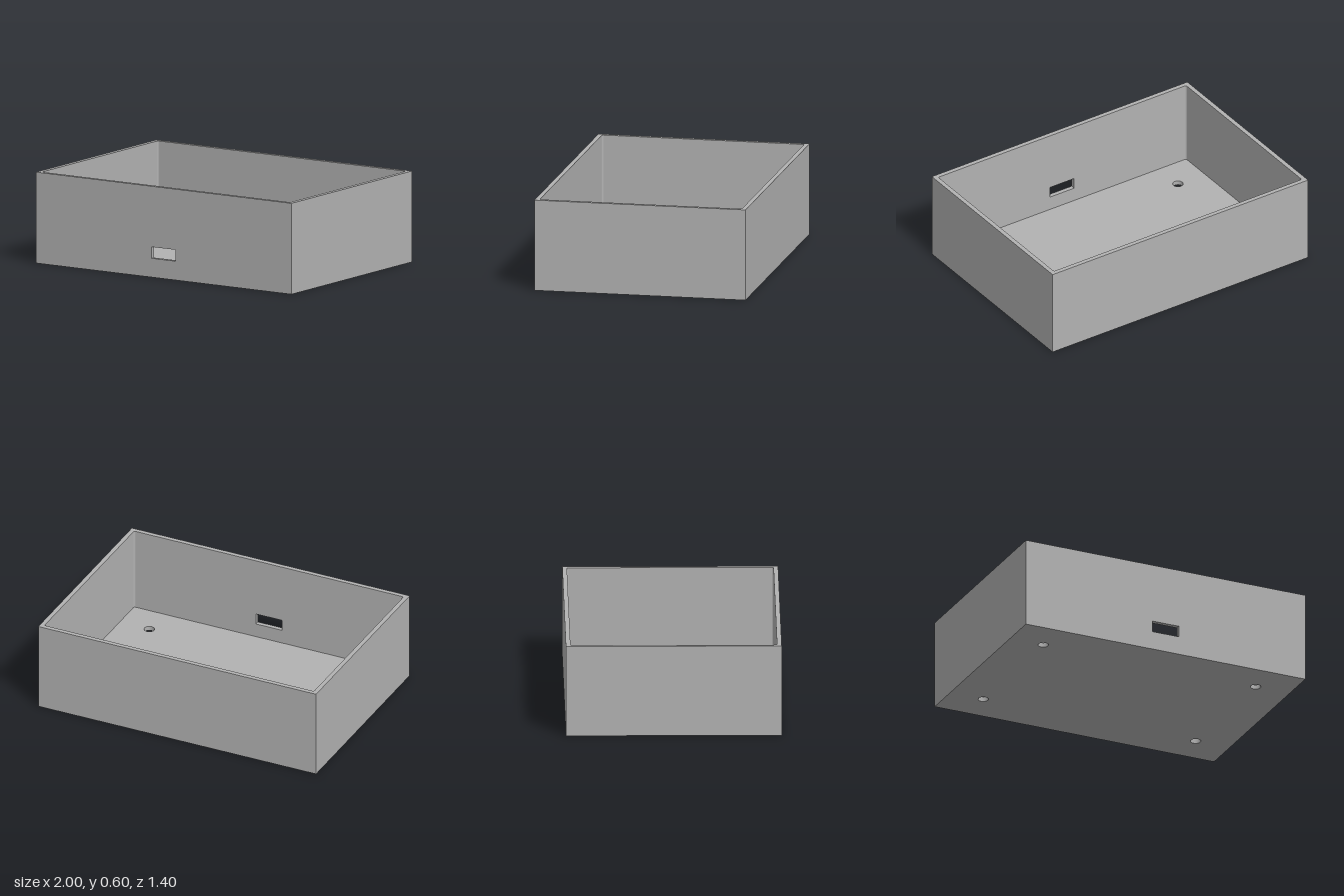
import * as THREE from 'three';

const W = 1, D = 0.7, H = 0.6, T = 0.03; // half width, half depth, height, wall thickness

const rectangle = (Type, x0, y0, x1, y1) => new Type([
  new THREE.Vector2(x0, y0), new THREE.Vector2(x1, y0),
  new THREE.Vector2(x1, y1), new THREE.Vector2(x0, y1),
]);

const extrude = (shape, depth) =>
  new THREE.ExtrudeGeometry(shape, { depth, bevelEnabled: false, curveSegments: 16 });

export function createModel() {
  const group = new THREE.Group();
  group.name = 'enclosure';
  const grey = new THREE.MeshStandardMaterial({ color: 0xb2b2b2 });
  grey.name = 'grey plastic';

  const add = (name, geometry) => {
    const mesh = new THREE.Mesh(geometry, grey);
    mesh.name = name;
    group.add(mesh);
    return mesh;
  };

  // Floor with four screw holes
  const floor = rectangle(THREE.Shape, -W, -D, W, D);
  for (const x of [-0.762, 0.758]) {
    for (const z of [-0.463, 0.457]) {
      floor.holes.push(new THREE.Path().absarc(x, -z, 0.034, 0, Math.PI * 2, true));
    }
  }
  add('floor', extrude(floor, T).rotateX(-Math.PI / 2));

  // Back and side walls in one U, with small fillets in the inner corners
  const r = 0.012, ix = W - T, iy = D - T;
  const walls = new THREE.Shape();
  walls.moveTo(-W, -iy);
  walls.lineTo(-ix + r, -iy);
  walls.absarc(-ix + r, -iy + r, r, -Math.PI / 2, -Math.PI, true);
  walls.lineTo(-ix, iy - r);
  walls.absarc(-ix + r, iy - r, r, Math.PI, Math.PI / 2, true);
  walls.lineTo(ix - r, iy);
  walls.absarc(ix - r, iy - r, r, Math.PI / 2, 0, true);
  walls.lineTo(ix, -iy + r);
  walls.absarc(ix - r, -iy + r, r, 0, -Math.PI / 2, true);
  walls.lineTo(W, -iy);
  walls.lineTo(W, D);
  walls.lineTo(-W, D);
  add('backAndSideWalls', extrude(walls, H - T).rotateX(-Math.PI / 2)).position.y = T;

  // Front wall with the cable slot
  const front = rectangle(THREE.Shape, -W, T, W, H);
  front.holes.push(rectangle(THREE.Path, -0.094, 0.125, 0.094, 0.2));
  add('frontWall', extrude(front, T)).position.z = iy;

  return group;
}
